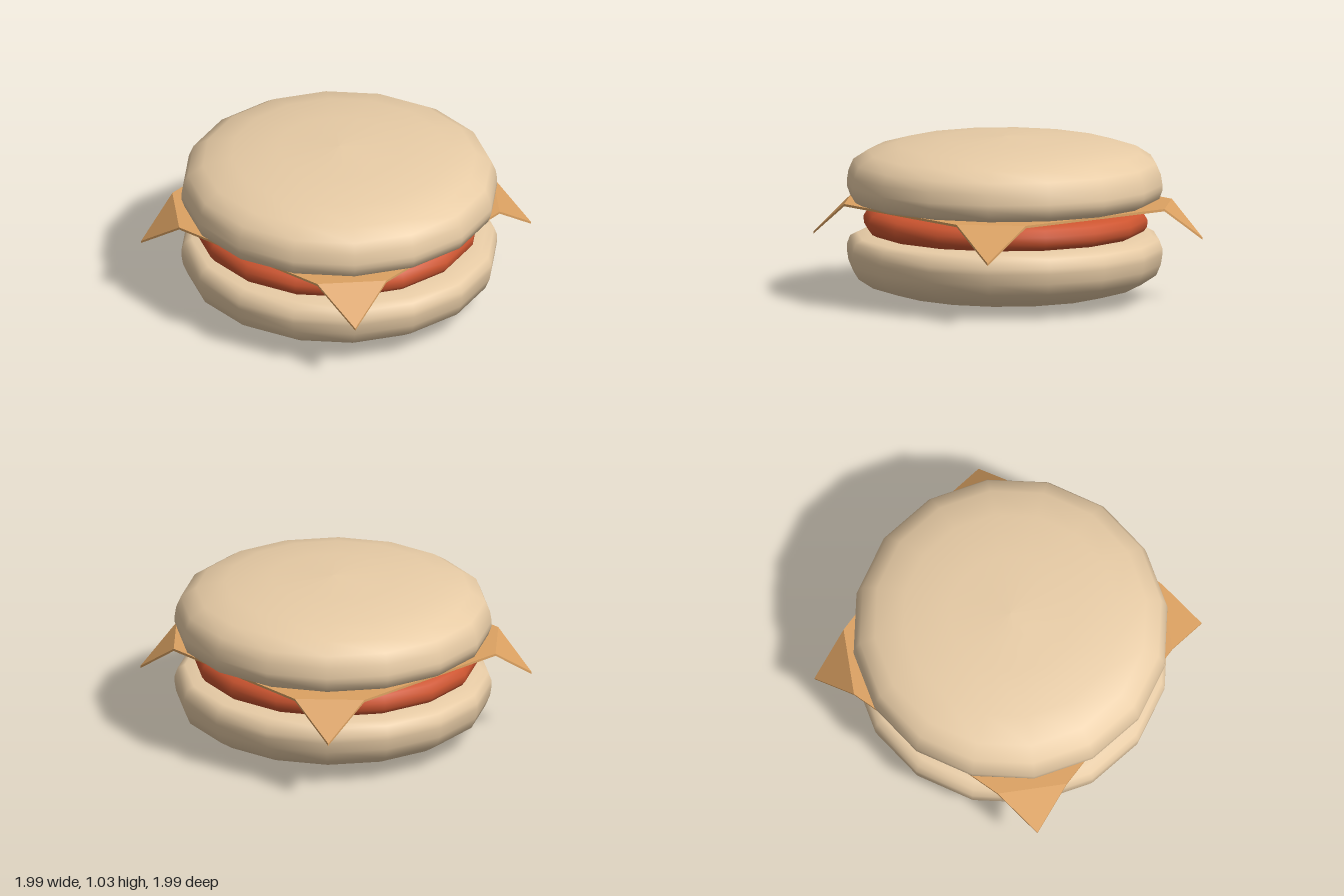
import * as THREE from 'three';

const SIDES = 16;
const bunMat = new THREE.MeshStandardMaterial({ color: 0xe8cca6 });
const pattyMat = new THREE.MeshStandardMaterial({ color: 0xcd5530 });
const cheeseMat = new THREE.MeshStandardMaterial({ color: 0xdca262 });

// Revolve [radius, y] pairs listed from bottom to top
function lathe(name, pairs, material) {
  const points = pairs.map(([r, y]) => new THREE.Vector2(r, y));
  const mesh = new THREE.Mesh(new THREE.LatheGeometry(points, SIDES), material);
  mesh.name = name;
  return mesh;
}

// Square slice whose four corners fold down along diagonal creases
function cheeseGeometry(half, fold, top, drop, thickness) {
  const ring = [];
  for (let k = 0; k < 4; k++) {
    // crease start, corner, crease end, turned a quarter each time
    for (const [x, z, y] of [[half, fold, top], [half, half, top - drop], [fold, half, top]]) {
      const p = new THREE.Vector3(x, y, z);
      ring.push(p.applyAxisAngle(new THREE.Vector3(0, 1, 0), -k * Math.PI / 2));
    }
  }
  const lower = (p) => new THREE.Vector3(p.x, p.y - thickness, p.z);
  const pos = [];
  const tri = (...pts) => pts.forEach((p) => pos.push(p.x, p.y, p.z));
  const layer = (a, b, c) => {
    tri(a, c, b);
    tri(lower(a), lower(b), lower(c));
  };
  const centre = new THREE.Vector3(0, top, 0);
  for (let i = 0; i < 12; i++) {
    const a = ring[i], b = ring[(i + 1) % 12];
    if (i % 3 === 0) {
      layer(a, b, ring[i + 2]);        // folded corner
      layer(centre, a, ring[i + 2]);   // flat area beside the crease
    }
    if (i % 3 === 2) layer(centre, a, b); // flat area along the straight edge
    tri(a, b, lower(b));               // rim
    tri(a, lower(b), lower(a));
  }
  const geo = new THREE.BufferGeometry();
  geo.setAttribute('position', new THREE.Float32BufferAttribute(pos, 3));
  geo.computeVertexNormals();
  return geo;
}

export function createModel() {
  const group = new THREE.Group();
  group.name = 'burger';

  // Buns: the bottom one is the top one mirrored in height
  const height = 1.03;
  const bun = [
    [0, 0.6], [0.5, 0.601], [0.82, 0.608], [0.93, 0.622], [0.975, 0.645], [0.995, 0.7], [0.995, 0.735],
    [0.985, 0.8], [0.955, 0.87], [0.86, 0.932], [0.68, 0.982], [0.39, 1.014], [0, height],
  ];
  const topBun = lathe('topBun', bun, bunMat);
  const bottomBun = lathe('bottomBun', bun.map(([r, y]) => [r, height - y]).reverse(), bunMat);

  // Patty with a rounded rim
  const patty = lathe('patty', [
    [0, 0.39], [0.7, 0.392], [0.82, 0.41], [0.87, 0.435], [0.893, 0.465], [0.895, 0.51],
    [0.87, 0.55], [0.82, 0.575], [0.7, 0.592], [0, 0.594],
  ], pattyMat);
  patty.position.set(-0.015, 0, 0.01);

  const cheese = new THREE.Mesh(cheeseGeometry(0.868, 0.56, 0.612, 0.21, 0.015), cheeseMat);
  cheese.name = 'cheeseSlice';
  cheese.position.x = -0.027;

  group.add(bottomBun, patty, cheese, topBun);
  return group;
}
